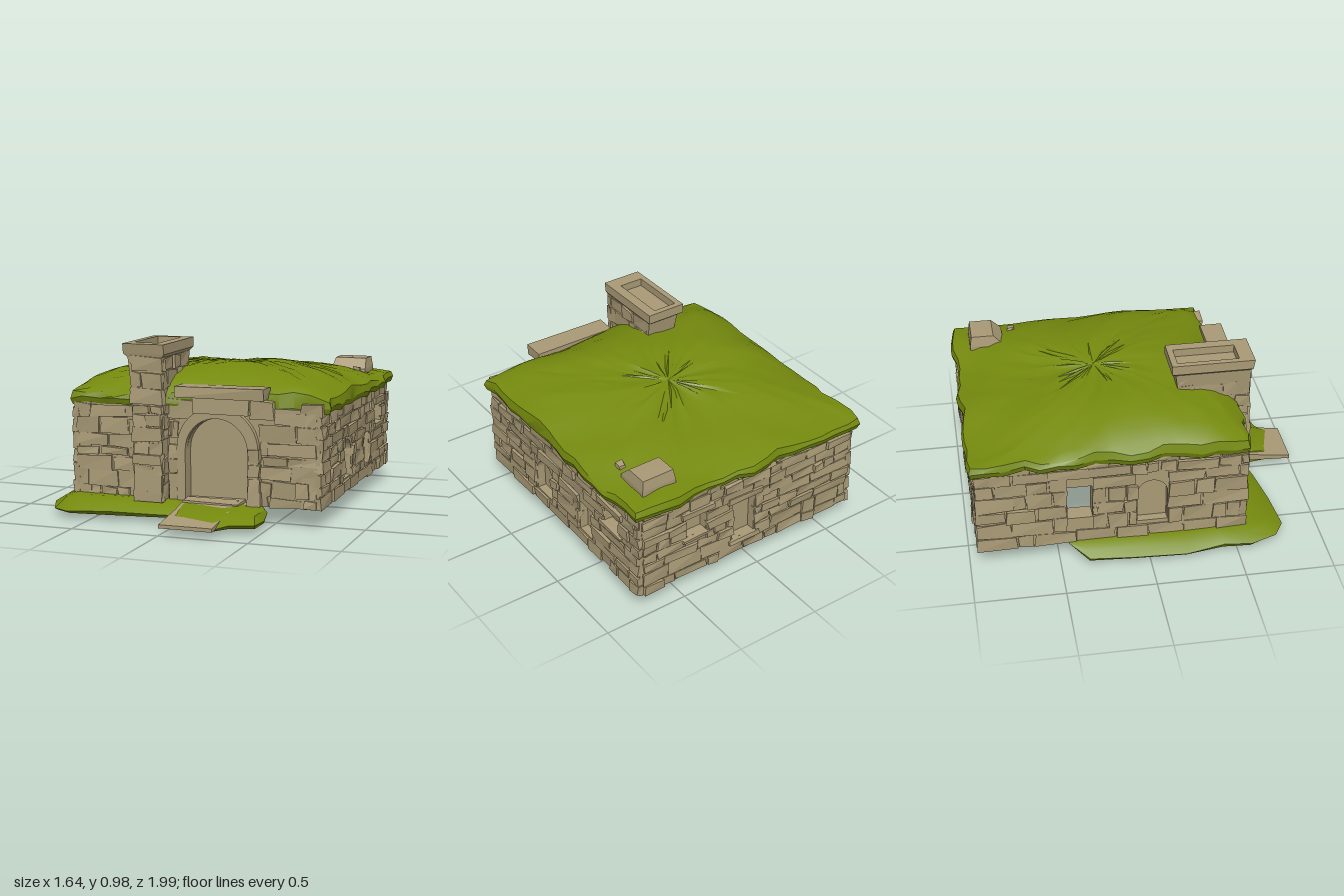
import * as THREE from 'three';
import { mergeGeometries, toCreasedNormals } from 'three/addons/utils/BufferGeometryUtils.js';

export function createModel() {
  const model = new THREE.Group();
  const stone = new THREE.MeshStandardMaterial({ color: 0xa99a76, flatShading: true });
  stone.name = 'stone';
  const grass = new THREE.MeshStandardMaterial({ color: 0x758a0e });
  grass.name = 'grass';

  let seed = 11;
  const rnd = () => (seed = (seed * 16807) % 2147483647) / 2147483647;
  const jit = (a) => (rnd() - 0.5) * 2 * a;

  const add = (name, geo, mat = stone, parent = model) => {
    const m = new THREE.Mesh(geo, mat);
    m.name = name;
    parent.add(m);
    return m;
  };

  // Skin between successive closed rows of points
  function loft(rows) {
    const n = rows[0].length, idx = [];
    for (let i = 0; i < rows.length - 1; i++)
      for (let j = 0; j < n; j++) {
        const k = (j + 1) % n, a = i * n + j, b = i * n + k, c = a + n, d = b + n;
        idx.push(a, b, d, a, d, c);
      }
    const g = new THREE.BufferGeometry();
    g.setAttribute('position', new THREE.Float32BufferAttribute(rows.flat(2), 3));
    g.setIndex(idx);
    g.computeVertexNormals();
    return g;
  }

  // Box whose eight corners are knocked about
  function roughBox(x0, x1, y0, y1, z0, z1, a = 0.008, az = a) {
    const g = new THREE.BoxGeometry(1, 1, 1), p = g.attributes.position;
    const off = Array.from({ length: 8 }, () => [jit(a), jit(a), jit(az)]);
    for (let i = 0; i < p.count; i++) {
      const sx = p.getX(i) > 0, sy = p.getY(i) > 0, sz = p.getZ(i) > 0;
      const o = off[sx * 1 + sy * 2 + sz * 4];
      p.setXYZ(i, (sx ? x1 : x0) + o[0], (sy ? y1 : y0) + o[1], (sz ? z1 : z0) + o[2]);
    }
    g.computeVertexNormals();
    return g;
  }

  // Courses of uneven stones standing out from the plane z = 0, clear of openings
  function masonry(u0, u1, y0, y1, skips = [], maxLen = 0.24) {
    const list = [];
    for (let y = y0; y < y1 - 0.02;) {
      const top = Math.min(y1, y + 0.05 + rnd() * 0.05);
      for (let u = u0; u < u1 - 0.02;) {
        let end = Math.min(u1, u + 0.07 + rnd() * (maxLen - 0.07));
        if (u1 - end < 0.04) end = u1;
        let start = u, stop = end;
        for (const [a, b, c, d] of skips)
          if (y < d && top > c && start < b && stop > a) {
            if (start < a) stop = a;
            else if (stop > b) start = b;
            else stop = start;
          }
        if (stop - start > 0.025)
          list.push(roughBox(start + 0.003, stop - 0.003, y + 0.003, top - 0.003,
            -0.03, 0.004 + rnd() * 0.014, 0.008, 0.006));
        u = end;
      }
      y = top;
    }
    return mergeGeometries(list);
  }

  // Rectangular or arched opening outline
  function opening(a, b, c, d, arch, P = THREE.Path) {
    const s = new P(), r = (b - a) / 2;
    s.moveTo(a, c).lineTo(b, c);
    if (arch) s.lineTo(b, d - r).absarc((a + b) / 2, d - r, r, 0, Math.PI, false);
    else s.lineTo(b, d).lineTo(a, d);
    s.lineTo(a, c);
    return s;
  }
  const extrude = (shape, depth, z) =>
    new THREE.ExtrudeGeometry(shape, { depth, bevelEnabled: false, curveSegments: 10 }).translate(0, 0, z);

  // Wall: outer leaf with all openings, inner leaf with only the open ones
  function wall(name, u0, u1, pos, turn, holes, skips = []) {
    const g = new THREE.Group();
    g.name = name;
    const leaf = (list, depth, z) => {
      const s = opening(u0, u1, 0.1, 0.64, false, THREE.Shape);
      list.forEach((h) => s.holes.push(opening(...h.box, h.arch)));
      return extrude(s, depth, z);
    };
    add('outerLeaf', leaf(holes, 0.05, -0.05), stone, g);
    add('innerLeaf', leaf(holes.filter((h) => h.open), 0.05, -0.1), stone, g);
    add('wallStones', masonry(u0 - 0.005, u1 + 0.005, 0.1, 0.63,
      [...holes.map((h) => h.box), ...skips]), stone, g);
    for (const h of holes.filter((q) => q.framed)) {
      const [a, b, c, d] = h.box;
      add('windowLintel', roughBox(a - 0.04, b + 0.04, d, d + 0.035, -0.03, 0.025, 0.005), stone, g);
      add('windowSill', roughBox(a - 0.03, b + 0.03, c - 0.025, c, -0.03, 0.022, 0.005), stone, g);
    }
    g.position.set(...pos);
    g.rotation.y = turn;
    model.add(g);
    return g;
  }
  wall('frontWall', -0.66, 0.74, [0, 0, 0.555], 0,
    [{ box: [0, 0.36, 0.105, 0.57], arch: true }], [[-0.28, -0.11, 0, 1], [-0.05, 0.42, 0, 0.64]]);
  wall('rightWall', -0.56, 0.95, [0.76, 0, 0], Math.PI / 2, [
    { box: [-0.08, 0.09, 0.18, 0.4], arch: true },
    { box: [0.37, 0.5, 0.18, 0.37] },
    { box: [0.62, 0.77, 0.4, 0.52], framed: true }]);
  wall('backWall', -0.74, 0.66, [0, 0, -0.95], Math.PI, [
    { box: [-0.46, -0.33, 0.36, 0.5], framed: true },
    { box: [-0.15, 0, 0.2, 0.46], framed: true }]);
  wall('leftWall', -0.95, 0.56, [-0.68, 0, 0], -Math.PI / 2, [
    { box: [-0.45, -0.31, 0.26, 0.47], open: true },
    { box: [-0.06, 0.11, 0.2, 0.47], arch: true }]);

  // Ceiling and the hearth block inside
  add('ceiling', new THREE.BoxGeometry(1.4, 0.03, 1.46).translate(0.04, 0.615, -0.2));
  add('hearth', new THREE.BoxGeometry(0.19, 0.5, 0.14).translate(-0.2, 0.36, 0.4));

  // Doorway: ring, jambs, recessed door, lintel and capstone
  const ring = opening(-0.05, 0.42, 0.1, 0.64, true, THREE.Shape);
  ring.holes.push(opening(0, 0.36, 0.105, 0.575, true));
  add('doorArch', extrude(ring, 0.09, 0.5));
  for (let i = 0; i < 4; i++) {
    const y = 0.1 + i * 0.08;
    add('leftJambStone', roughBox(-0.1, -0.01, y, y + 0.075, 0.5, 0.585, 0.006));
    add('rightJambStone', roughBox(0.365, 0.43, y, y + 0.075, 0.5, 0.6, 0.006));
  }
  add('door', roughBox(0.02, 0.34, 0.07, 0.39, 0.44, 0.5, 0.004));
  add('doorStep', roughBox(0, 0.32, 0.05, 0.12, 0.5, 0.64, 0.005));
  add('keyStone', roughBox(0.05, 0.37, 0.6, 0.69, 0.48, 0.61, 0.008));
  add('lintelLeft', roughBox(-0.1, 0.05, 0.57, 0.67, 0.48, 0.575, 0.01));
  add('lintelRight', roughBox(0.36, 0.5, 0.58, 0.68, 0.48, 0.575, 0.01));
  add('capStone', roughBox(-0.05, 0.465, 0.69, 0.75, 0.51, 0.64, 0.006));

  // Entrance ramp
  add('ramp', loft([0.55, 0.75, 0.99].map((z, i) => {
    const y = [0.125, 0.09, 0.06][i], b = [0.06, 0.05, 0.04][i];
    return [[0, b, z], [0.3, b, z], [0.3, y, z], [0, y, z]];
  })));
  add('rampEnd', new THREE.BoxGeometry(0.3, 0.02, 0.02).translate(0.15, 0.05, 0.982));

  // Chimney with flared, hollow top
  const rect = (x0, x1, z0, z1, y) => [[x0, y, z1], [x1, y, z1], [x1, y, z0], [x0, y, z0]];
  add('chimney', loft([
    rect(-0.28, -0.115, 0.48, 0.655, 0.1), rect(-0.275, -0.115, 0.48, 0.645, 0.62),
    rect(-0.29, -0.12, 0.25, 0.64, 0.66), rect(-0.315, -0.115, 0.215, 0.645, 0.9),
    rect(-0.34, -0.1, 0.19, 0.65, 0.92), rect(-0.34, -0.1, 0.19, 0.66, 0.975),
    rect(-0.305, -0.16, 0.225, 0.575, 0.975), rect(-0.305, -0.16, 0.225, 0.575, 0.93),
    rect(-0.23, -0.23, 0.4, 0.4, 0.93)]));
  const faces = [
    [-0.285, -0.11, 0.1, 0.64, [0, 0, 0.645], 0], [-0.3, -0.105, 0.64, 0.92, [0, 0, 0.64], 0],
    [-0.64, -0.24, 0.66, 0.92, [-0.12, 0, 0], Math.PI / 2], [-0.64, -0.55, 0.1, 0.66, [-0.118, 0, 0], Math.PI / 2],
    [0.24, 0.64, 0.66, 0.92, [-0.295, 0, 0], -Math.PI / 2], [0.55, 0.64, 0.1, 0.66, [-0.275, 0, 0], -Math.PI / 2]];
  for (const [a, b, c, d, pos, turn] of faces) {
    const m = add('chimneyStones', masonry(a, b, c, d, [], 0.17));
    m.position.set(...pos);
    m.rotation.y = turn;
  }

  // Loose stones on the roof
  add('frontCornerStone', roughBox(0.65, 0.775, 0.61, 0.675, 0.46, 0.565, 0.006));
  add('roofStone', loft([rect(0.48, 0.69, -0.88, -0.68, 0.66), rect(0.48, 0.69, -0.88, -0.68, 0.72),
    rect(0.49, 0.68, -0.87, -0.74, 0.78), rect(0.58, 0.58, -0.8, -0.8, 0.782)]));
  add('roofPebble', roughBox(0.635, 0.67, 0.69, 0.74, -0.65, -0.6, 0.008));

  // Turf roof: square rings from under the eaves, out, up and in to the crown
  const N = 16, side = [];
  for (const [sx, sz, dx, dz] of [[-1, 1, 1, 0], [1, 1, 0, -1], [1, -1, -1, 0], [-1, -1, 0, 1]])
    for (let i = 0; i < N; i++) side.push([sx + (dx * 2 * i) / N, sz + (dz * 2 * i) / N]);
  const wob = side.map(() => [jit(0.018), jit(0.012)]);
  const dome = (x, z) => {
    const s = Math.min(1, Math.abs(x - 0.04) / 0.78);
    const t = z > 0.1 ? Math.min(1, (z - 0.1) / 0.49) ** 3 : Math.min(1, (0.1 - z) / 1.09) ** 1.5;
    return 0.675 + 0.155 * (1 - s ** 4) * (1 - t)
      + 0.008 * Math.sin(9 * x + 4 * z) + 0.006 * Math.sin(13 * z - 7 * x);
  };
  const levels = [[0.88, 0.625], [0.985, 0.618], [1, 0.65], [0.985], [0.92], [0.83], [0.72], [0.58], [0.43], [0.28], [0.13], [0]];
  add('turfRoof', toCreasedNormals(loft(levels.map(([f, y]) => side.map(([s, t], j) => {
    const e = f > 0.95 ? 1 : 0;
    const x = 0.045 + (0.765 + e * wob[j][0]) * s * f;
    let z = -0.2 + (0.78 + e * wob[j][0]) * t * f;
    if (t > 0.99 && x > 0 && f > 0.9) z -= 0.035;
    const rough = f > 0 && f < 0.95 ? jit(0.007) : 0;
    return [x, y === undefined ? dome(x, z) + rough : y + wob[j][1], z];
  }))), 0.5), grass);

  // Grass bank wrapping the front left corner: outer x, z and inner x, z
  const bank = [
    [-0.79, -0.34, -0.62, -0.37], [-0.81, -0.1, -0.6, -0.1], [-0.825, 0.2, -0.6, 0.2],
    [-0.785, 0.42, -0.6, 0.36], [-0.795, 0.58, -0.6, 0.44], [-0.73, 0.73, -0.58, 0.48],
    [-0.63, 0.79, -0.5, 0.49], [-0.4, 0.765, -0.38, 0.49], [-0.15, 0.73, -0.15, 0.49],
    [0, 0.7, 0, 0.49], [0.03, 0.93, 0.06, 0.49], [0.28, 0.97, 0.24, 0.49],
    [0.35, 0.86, 0.3, 0.49], [0.48, 0.82, 0.36, 0.49], [0.48, 0.66, 0.4, 0.49]];
  const rows = bank.map(([ox, oz, ix, iz], i) => {
    const at = (f, y) => [ix + (ox - ix) * f, y, iz + (oz - iz) * f];
    const low = i === 3 ? 0 : 0.008 + rnd() * 0.012;
    return [at(0, 0.105), at(0.45, 0.108 + jit(0.006)), at(0.75, 0.085 + jit(0.01)),
      at(1, 0.05 + jit(0.008)), at(0.93, 0.03), at(0.5, low), at(0, 0.04)];
  });
  rows.unshift(rows[0].map(() => [-0.69, 0.1, -0.45]));
  rows.push(rows[0].map(() => [0.47, 0.07, 0.57]));
  add('grassBank', toCreasedNormals(loft(rows), 0.6), grass);

  return model;
}
